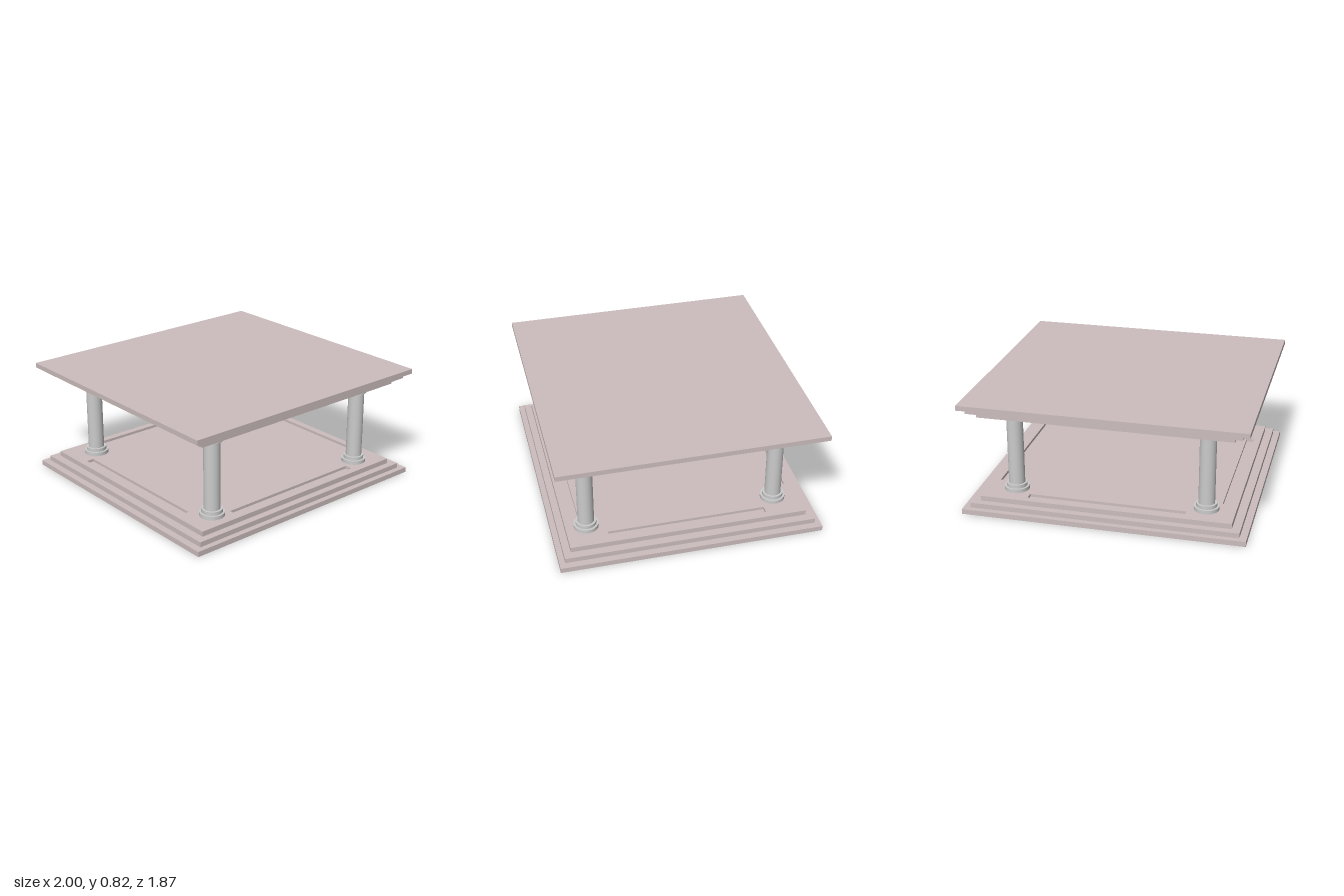
import * as THREE from 'three';

const stone = new THREE.MeshStandardMaterial({ color: 0xccbdbd });
const grey = new THREE.MeshStandardMaterial({ color: 0xcccccc });

function slab(name, halfX, halfZ, y0, y1) {
  const mesh = new THREE.Mesh(new THREE.BoxGeometry(halfX * 2, y1 - y0, halfZ * 2), stone);
  mesh.name = name;
  mesh.position.y = (y0 + y1) / 2;
  return mesh;
}

function rectangle(path, x0, x1, z0, z1) {
  path.moveTo(x0, z0);
  path.lineTo(x1, z0);
  path.lineTo(x1, z1);
  path.lineTo(x0, z1);
  path.closePath();
  return path;
}

// Thin plate with a long slot near each of its four edges
function slottedPlate(name, halfX, halfZ, y0, y1) {
  const shape = rectangle(new THREE.Shape(), -halfX, halfX, -halfZ, halfZ);
  for (const s of [-1, 1]) {
    shape.holes.push(rectangle(new THREE.Path(), -0.56, 0.56, s * 0.765 - 0.028, s * 0.765 + 0.028));
    shape.holes.push(rectangle(new THREE.Path(), s * 0.81 - 0.028, s * 0.81 + 0.028, -0.565, 0.565));
  }
  const geometry = new THREE.ExtrudeGeometry(shape, { depth: y1 - y0, bevelEnabled: false });
  geometry.rotateX(-Math.PI / 2);
  const mesh = new THREE.Mesh(geometry, stone);
  mesh.name = name;
  mesh.position.y = y0;
  return mesh;
}

// Round column of stacked drums: base, shaft and capital
function column(x, z) {
  const group = new THREE.Group();
  group.name = 'column';
  const drums = [
    ['basePlinth', 0.088, 0.11, 0.137],
    ['baseRing', 0.073, 0.137, 0.162],
    ['shaft', 0.0575, 0.162, 0.655],
    ['capitalRing', 0.073, 0.655, 0.68],
    ['capitalPlate', 0.088, 0.68, 0.707],
  ];
  for (const [name, r, y0, y1] of drums) {
    const mesh = new THREE.Mesh(new THREE.CylinderGeometry(r, r, y1 - y0, 40), grey);
    mesh.name = name;
    mesh.position.y = (y0 + y1) / 2;
    group.add(mesh);
  }
  group.position.set(x, 0, z);
  return group;
}

export function createModel() {
  const model = new THREE.Group();
  model.name = 'pavilion';

  // Stepped floor, with shallow slots in the upper step
  model.add(
    slab('floorLowerStep', 1, 0.935, 0, 0.037),
    slab('floorMiddleStep', 0.95, 0.895, 0.037, 0.073),
    slab('floorUpperStep', 0.89, 0.845, 0.073, 0.09),
    slottedPlate('floorSlottedTop', 0.89, 0.845, 0.09, 0.11),
  );

  // Stepped roof mirroring the floor, with a thin gap above the lowest step
  model.add(
    slottedPlate('roofSlottedUnderside', 0.89, 0.845, 0.707, 0.727),
    slab('roofLowerStep', 0.89, 0.845, 0.727, 0.739),
    slab('roofMiddleStep', 0.95, 0.895, 0.748, 0.783),
    slab('roofTop', 1, 0.935, 0.783, 0.818),
  );

  // Four corner columns
  for (const x of [-0.685, 0.68]) {
    for (const z of [-0.662, 0.697]) model.add(column(x, z));
  }
  return model;
}
